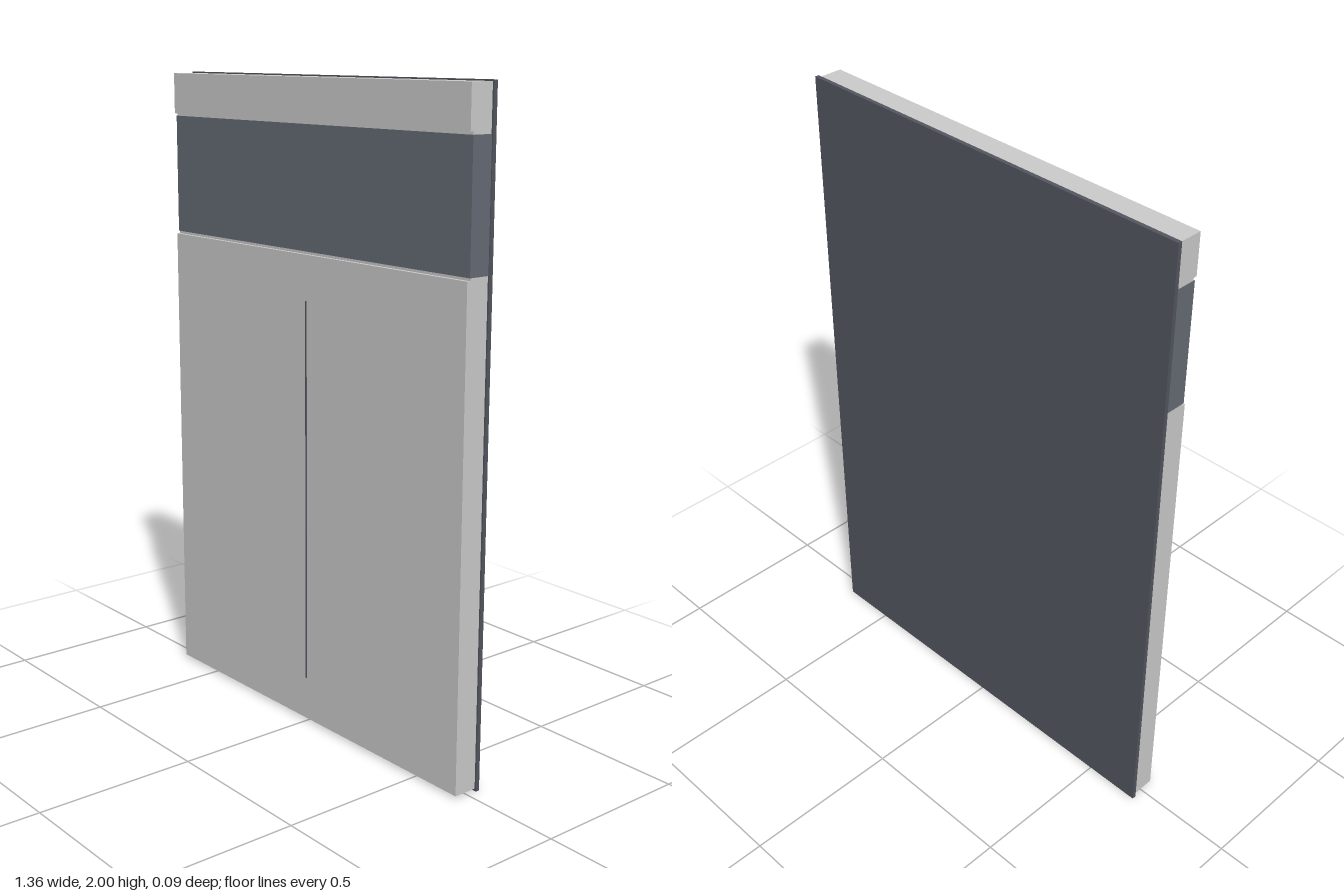
import * as THREE from 'three';

const material = (color) => new THREE.MeshStandardMaterial({ color, flatShading: true });

export function createModel() {
  const group = new THREE.Group();
  const light = material(0xcccccc);
  const slate = material(0x666c75);
  const dark = material(0x53565f);

  // Box given by its half width and its y and z ranges
  function slab(name, mat, halfWidth, y0, y1, z0, z1) {
    const mesh = new THREE.Mesh(new THREE.BoxGeometry(halfWidth * 2, y1 - y0, z1 - z0), mat);
    mesh.name = name;
    mesh.position.set(0, (y0 + y1) / 2, (z0 + z1) / 2);
    group.add(mesh);
  }

  const back = -0.033;
  const face = 0.043;

  // Backing sheet
  slab('backPanel', dark, 0.68, 0, 2, -0.046, back);

  // Front panels, with the recessed band between them
  slab('lowerPanel', light, 0.675, 0.008, 1.483, back, face);
  slab('band', slate, 0.677, 1.491, 1.862, back, 0.035);
  slab('upperPanel', light, 0.675, 1.87, 1.996, back, face);

  // Thin strips closing the joints above and below the band
  slab('lowerJoint', light, 0.675, 1.483, 1.491, back, 0.032);
  slab('upperJoint', light, 0.675, 1.862, 1.87, back, 0.032);

  // Fine vertical seam on the lower panel
  slab('centreSeam', dark, 0.002, 0.145, 1.345, face - 0.002, 0.046);

  return group;
}
